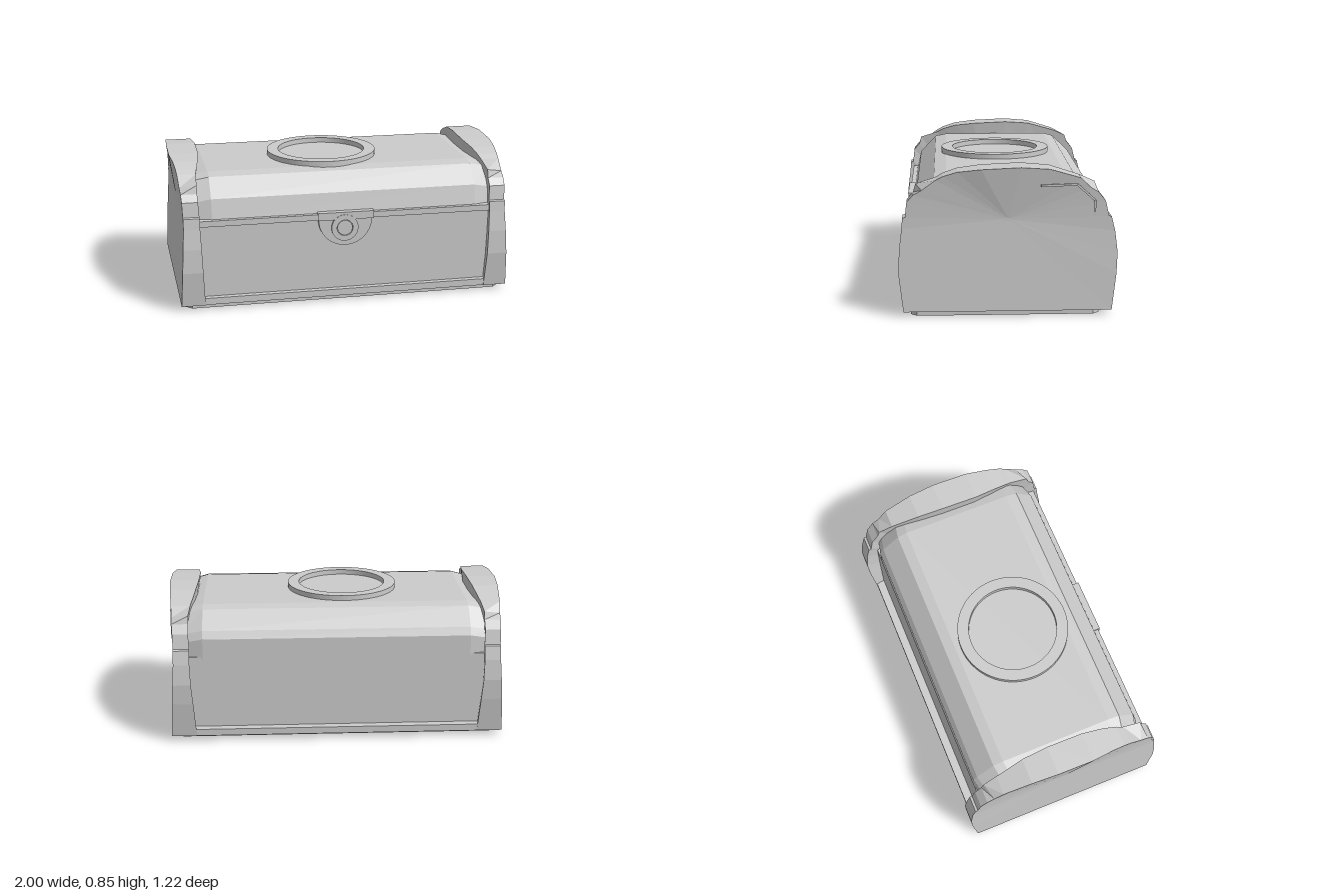
import * as THREE from 'three';

const mat = new THREE.MeshStandardMaterial({ color: 0xcccccc, flatShading: true });

function add(group, name, geometry, x = 0, y = 0, z = 0) {
  const mesh = new THREE.Mesh(geometry, mat);
  mesh.name = name;
  mesh.position.set(x, y, z);
  group.add(mesh);
  return mesh;
}

// Skin closed rings of [x, y, z] points, ordered from low x to high x, ends filled.
function loft(rings) {
  const out = [];
  const tri = (a, b, c) => out.push(...a, ...b, ...c);
  const n = rings[0].length;
  const middle = (ring) => [0, 1, 2].map((k) => ring.reduce((s, p) => s + p[k], 0) / n);
  const first = rings[0], last = rings[rings.length - 1];
  const c0 = middle(first), c1 = middle(last);
  for (let i = 0; i < n; i++) {
    const j = (i + 1) % n;
    for (let r = 0; r + 1 < rings.length; r++) {
      const a = rings[r], b = rings[r + 1];
      tri(a[i], b[i], b[j]);
      tri(a[i], b[j], a[j]);
    }
    tri(c0, first[i], first[j]);
    tri(c1, last[j], last[i]);
  }
  const g = new THREE.BufferGeometry();
  g.setAttribute('position', new THREE.Float32BufferAttribute(out, 3));
  g.computeVertexNormals();
  return g;
}

// Profile points [z, y] placed at one x.
const section = (profile, x, sz = 1, dy = 0) => profile.map(([z, y]) => [x, y + dy, z * sz]);

// Disc or ring, extruded along +z
function disc(radius, hole, depth, segments) {
  const shape = new THREE.Shape().absarc(0, 0, radius, 0, Math.PI * 2);
  if (hole) shape.holes.push(new THREE.Path().absarc(0, 0, hole, 0, Math.PI * 2, true));
  return new THREE.ExtrudeGeometry(shape, { depth, bevelEnabled: false, curveSegments: segments });
}

// End frame outline, front to back: [z, y, inner x, outer x, corner bevel]
const frame = [
  [0.585, 0.03, 0.845, 0.985, 0], [0.61, 0.24, 0.855, 0.975, 0], [0.605, 0.38, 0.86, 0.967, 0],
  [0.59, 0.5, 0.865, 0.96, 0], [0.585, 0.56, 0.865, 0.96, 0], [0.57, 0.565, 0.865, 0.96, 0],
  [0.56, 0.65, 0.87, 0.963, 0], [0.525, 0.69, 0.87, 0.965, 0], [0.512, 0.738, 0.87, 0.968, 0.035],
  [0.4, 0.773, 0.865, 0.973, 0], [0.36, 0.795, 0.855, 0.977, 0],
  [0.28, 0.82, 0.84, 0.985, 0], [0.15, 0.835, 0.825, 1, 0], [-0.07, 0.845, 0.825, 1, 0],
  [-0.23, 0.833, 0.835, 0.99, 0], [-0.4, 0.782, 0.86, 0.975, 0], [-0.485, 0.745, 0.87, 0.968, 0.03],
  [-0.5, 0.7, 0.87, 0.966, 0], [-0.54, 0.65, 0.87, 0.963, 0], [-0.56, 0.565, 0.865, 0.96, 0],
  [-0.575, 0.56, 0.865, 0.96, 0], [-0.595, 0.48, 0.865, 0.96, 0], [-0.61, 0.36, 0.86, 0.967, 0],
  [-0.605, 0.24, 0.85, 0.975, 0], [-0.58, 0.03, 0.835, 0.985, 0],
];

function frameGeometry(side) {
  const rings = [
    frame.map(([z, y, xi]) => [xi + 0.015, 0.03 + (y - 0.03) * 0.84, z * 0.84]),
    frame.map(([z, y, xi]) => [xi, y, z]),
    frame.map(([z, y, , xo, b]) => [xo, y - b * 0.6, z - Math.sign(z) * b]),
    frame.map(([z, y]) => [0.957, 0.55 + (y - 0.55) * 0.02, z * 0.02]),
  ];
  if (side > 0) return loft(rings);
  return loft(rings.reverse().map((r) => r.map(([x, y, z]) => [-x, y, z])));
}

export function createModel() {
  const chest = new THREE.Group();
  chest.name = 'chest';

  // Base plinth with clipped corners
  const plan = new THREE.Shape([
    [-0.955, -0.51], [-0.92, -0.545], [0.92, -0.545], [0.955, -0.51],
    [0.955, 0.48], [0.92, 0.515], [-0.92, 0.515], [-0.955, 0.48],
  ].map(([x, y]) => new THREE.Vector2(x, y)));
  const plinth = new THREE.ExtrudeGeometry(plan, { depth: 0.04, bevelEnabled: false });
  add(chest, 'plinth', plinth.rotateX(-Math.PI / 2));
  add(chest, 'bottomLedge', new THREE.BoxGeometry(1.8, 0.04, 1.16), 0, 0.05, 0);

  // Box body and the rim under the lid
  const bodyProfile = [[0.545, 0.04], [0.54, 0.5], [-0.52, 0.5], [-0.53, 0.04]];
  add(chest, 'body', loft([section(bodyProfile, -0.9), section(bodyProfile, 0.9)]));
  add(chest, 'seamRim', new THREE.BoxGeometry(1.8, 0.035, 0.3), 0, 0.5175, 0.415);

  // Lid, dipping slightly where it meets the end frames
  const lidProfile = [
    [0.54, 0.49], [0.538, 0.535], [0.512, 0.65], [0.41, 0.755], [0.34, 0.77],
    [-0.33, 0.77], [-0.39, 0.755], [-0.495, 0.655], [-0.52, 0.61], [-0.522, 0.49],
  ];
  add(chest, 'lid', loft([
    section(lidProfile, -0.9, 0.95, -0.025), section(lidProfile, -0.79),
    section(lidProfile, 0.79), section(lidProfile, 0.9, 0.95, -0.025),
  ]));

  // End frames
  for (const side of [-1, 1]) {
    add(chest, side > 0 ? 'leftEndFrame' : 'rightEndFrame', frameGeometry(side));
  }

  // Small raised trim on the left end
  const trim = [[-0.18, 0.74, 0.982], [-0.38, 0.745, 0.974], [-0.48, 0.655, 0.966], [-0.48, 0.565, 0.96]]
    .map(([z, y, x]) => new THREE.Vector3(x, y, z));
  for (let i = 0; i < 3; i++) {
    const a = trim[i], b = trim[i + 1];
    const bar = add(chest, 'endTrim', new THREE.BoxGeometry(0.012, 0.012, a.distanceTo(b)));
    bar.position.copy(a).add(b).multiplyScalar(0.5);
    bar.lookAt(b);
  }

  // Ring on the lid
  add(chest, 'lidRing', disc(0.333, 0.265, 0.035, 48).rotateX(-Math.PI / 2), -0.055, 0.765, 0.035);

  // Lock: rounded plate, hasp bar, collar and button
  const plate = new THREE.Shape();
  plate.moveTo(-0.16, 0.16);
  plate.absarc(0, 0.16, 0.16, Math.PI, Math.PI * 2, false);
  plate.closePath();
  const plateGeo = new THREE.ExtrudeGeometry(plate, { depth: 0.03, bevelEnabled: false, curveSegments: 16 });
  add(chest, 'lockPlate', plateGeo, -0.01, 0.34, 0.535);
  add(chest, 'hasp', new THREE.BoxGeometry(0.335, 0.045, 0.04), -0.008, 0.522, 0.555);
  add(chest, 'lockCollar', disc(0.08, 0.048, 0.02, 24), -0.015, 0.45, 0.558);
  add(chest, 'lockButton', disc(0.045, 0, 0.02, 24), -0.015, 0.45, 0.555);

  return chest;
}
